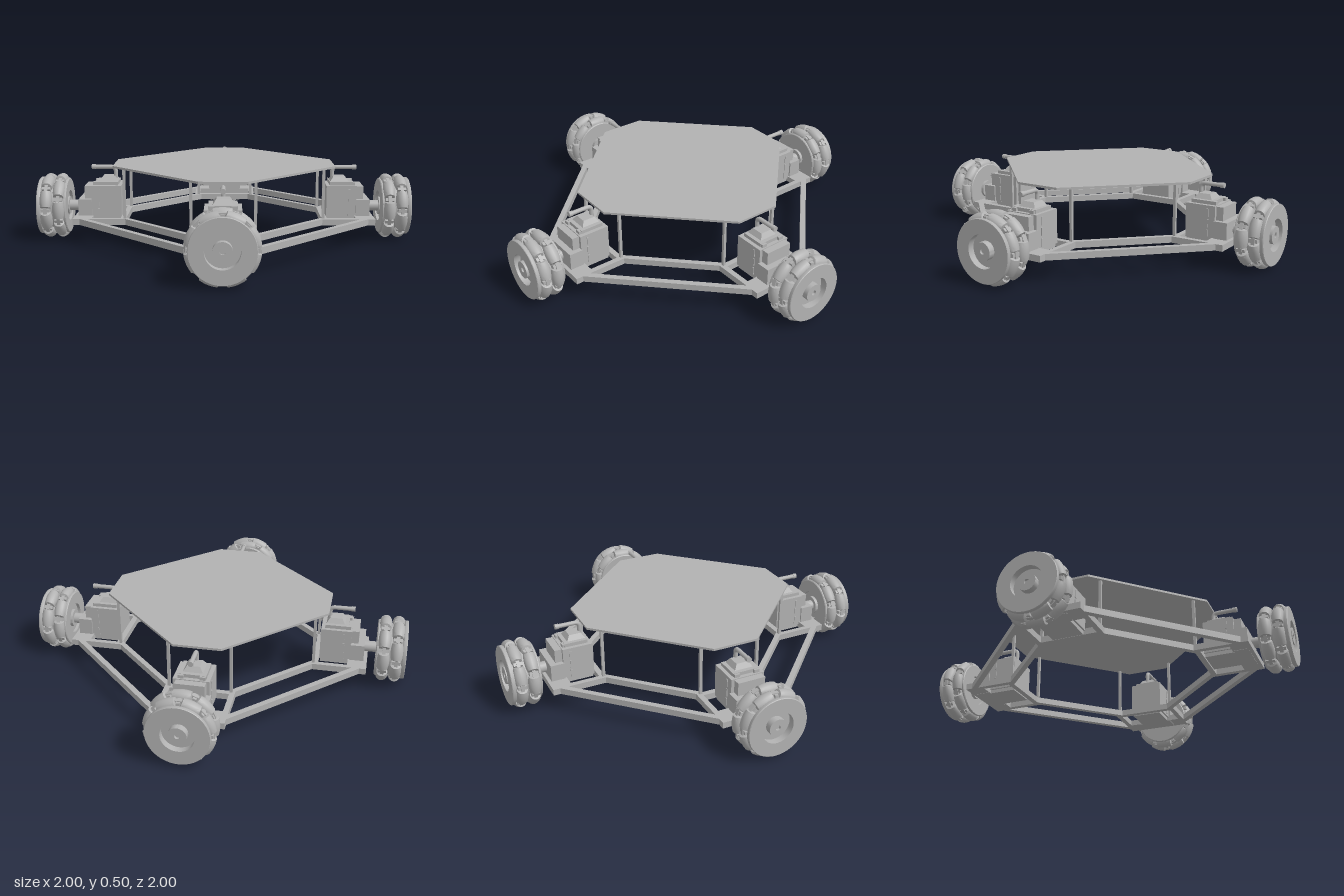
import * as THREE from 'three';
import { toCreasedNormals } from 'three/addons/utils/BufferGeometryUtils.js';

const grey = new THREE.MeshStandardMaterial({ color: 0xb2b2b2 });
grey.name = 'plain grey';

function add(parent, name, geometry, x = 0, y = 0, z = 0) {
  const mesh = new THREE.Mesh(geometry, grey);
  mesh.name = name;
  mesh.position.set(x, y, z);
  parent.add(mesh);
  return mesh;
}
const box = (w, h, d) => new THREE.BoxGeometry(w, h, d);
const lathe = (pts, sides) => toCreasedNormals(
  new THREE.LatheGeometry(pts.map(([r, y]) => new THREE.Vector2(r, y)), sides), 0.6);

// Double-row roller wheel; its axle lies along z and the outer face is +z
function makeWheel() {
  const wheel = new THREE.Group();
  wheel.name = 'rollerWheel';

  // Core with a rim disc at each side, a recessed outer face and a hub boss
  const core = lathe([
    [0, -0.09], [0.06, -0.09], [0.06, -0.07], [0.1, -0.07], [0.1, -0.09], [0.178, -0.09],
    [0.183, -0.085], [0.183, -0.075], [0.165, -0.07], [0.165, 0.075], [0.188, 0.078],
    [0.19, 0.082], [0.19, 0.098], [0.187, 0.102], [0.1, 0.102], [0.1, 0.06],
    [0.055, 0.06], [0.055, 0.1], [0.016, 0.1], [0.016, 0.085], [0, 0.085],
  ], 48);
  add(wheel, 'wheelCore', core).rotation.x = Math.PI / 2;

  // Barrel roller whose curve follows the wheel's rolling circle
  const R = 0.214, axis = 0.174, half = 0.058;
  const barrel = [[0, -half], [0.016, -half]];
  for (let i = 0; i <= 8; i++) {
    const t = -half + 0.004 + (i / 8) * (2 * half - 0.008);
    barrel.push([Math.sqrt(R * R - t * t) - axis, t]);
  }
  barrel.push([0.016, half], [0, half]);
  const roller = lathe(barrel, 20);

  const count = 8;
  for (const row of [-1, 1]) {
    for (let i = 0; i < count; i++) {
      const step = (2 * Math.PI) / count;
      const a = (i + (row > 0 ? 0.5 : 0)) * step;
      const spoke = new THREE.Group();
      spoke.name = 'rollerUnit';
      spoke.rotation.z = a;
      wheel.add(spoke);
      add(spoke, 'roller', roller, 0, axis, row * 0.041).rotation.z = Math.PI / 2;
      // Fork that carries the roller ends
      const fork = new THREE.Group();
      fork.name = 'rollerFork';
      fork.rotation.z = step / 2;
      spoke.add(fork);
      add(fork, 'forkPost', box(0.022, 0.05, 0.055), 0, 0.172, row * 0.041);
      add(fork, 'forkCap', box(0.042, 0.012, 0.022), 0, 0.196, row * 0.041);
    }
  }
  return wheel;
}

// Drive motor with stepped cap and bent cable tube
function makeMotor() {
  const motor = new THREE.Group();
  motor.name = 'motor';
  add(motor, 'motorCase', box(0.22, 0.215, 0.198), 0, 0.2575, 0.775);
  add(motor, 'motorFoot', box(0.2, 0.03, 0.19), 0, 0.14, 0.775);
  add(motor, 'gearbox', box(0.24, 0.15, 0.09), 0, 0.2, 0.915);
  add(motor, 'gearboxCollar', box(0.18, 0.19, 0.05), 0, 0.265, 0.895);
  add(motor, 'capStep', box(0.17, 0.022, 0.15), 0, 0.376, 0.775);
  // Tapered cap
  const cap = new THREE.CylinderGeometry(0.055, 0.085, 0.032, 4, 1).toNonIndexed();
  cap.rotateY(Math.PI / 4);
  cap.computeVertexNormals();
  add(motor, 'cap', cap, 0, 0.402, 0.765);
  // Raised seam strips on both sides
  for (const s of [-1, 1]) {
    for (let i = 0; i < 3; i++) {
      add(motor, 'caseStrip', box(0.008, 0.05, 0.012), s * 0.111, 0.19 + i * 0.065, 0.825);
    }
    add(motor, 'caseLug', box(0.035, 0.02, 0.05), s * 0.065, 0.375, 0.84);
  }
  const bend = new THREE.CurvePath();
  const v = (y, z) => new THREE.Vector3(0, y, z);
  bend.add(new THREE.LineCurve3(v(0.4, 0.722), v(0.445, 0.722)));
  bend.add(new THREE.QuadraticBezierCurve3(v(0.445, 0.722), v(0.475, 0.722), v(0.475, 0.752)));
  bend.add(new THREE.LineCurve3(v(0.475, 0.752), v(0.475, 0.87)));
  add(motor, 'cableTube', new THREE.TubeGeometry(bend, 24, 0.014, 12));
  const ending = new THREE.CylinderGeometry(0.017, 0.017, 0.025, 16);
  add(motor, 'tubeEnd', ending, 0, 0.475, 0.868).rotation.x = Math.PI / 2;
  return motor;
}

// One corner, built with +z pointing outward along the diagonal
function makeCorner() {
  const corner = new THREE.Group();
  corner.name = 'corner';
  add(corner, 'cornerPlate', box(0.438, 0.04, 0.123), 0, 0.147, 0.9215);
  add(corner, 'innerCrossbar', box(0.4, 0.04, 0.036), 0, 0.147, 0.655);
  for (const s of [-1, 1]) {
    add(corner, 'cornerBeam', box(0.034, 0.04, 0.25), s * 0.202, 0.147, 0.755);
    add(corner, 'post', box(0.018, 0.33, 0.018), s * 0.193, 0.33, 0.645);
  }
  corner.add(makeMotor());
  const axle = new THREE.CylinderGeometry(0.035, 0.035, 0.15, 24);
  add(corner, 'axle', axle, 0, 0.215, 1.0).rotation.x = Math.PI / 2;
  const wheel = makeWheel();
  wheel.position.set(0, 0.215, 1.123);
  corner.add(wheel);
  return corner;
}

export function createModel() {
  const model = new THREE.Group();
  model.name = 'fourWheelPlatform';

  // Octagonal deck
  const a = 0.615, c = 0.408;
  const outline = [[a, c], [c, a], [-c, a], [-a, c], [-a, -c], [-c, -a], [c, -a], [a, -c]];
  const deck = new THREE.ExtrudeGeometry(
    new THREE.Shape(outline.map(([x, y]) => new THREE.Vector2(x, y))),
    { depth: 0.014, bevelEnabled: false });
  deck.rotateX(-Math.PI / 2);
  add(model, 'deck', deck, 0, 0.49, 0);

  for (let i = 0; i < 4; i++) {
    const corner = makeCorner();
    corner.rotation.y = Math.PI / 4 + (i * Math.PI) / 2;
    model.add(corner);

    // Outer and inner rails along each side
    const side = new THREE.Group();
    side.name = 'sideRails';
    side.rotation.y = (i * Math.PI) / 2;
    add(side, 'outerRail', box(1.06, 0.04, 0.036), 0, 0.147, 0.8);
    add(side, 'innerRail', box(0.66, 0.04, 0.034), 0, 0.147, 0.59);
    model.add(side);
  }
  return model;
}
